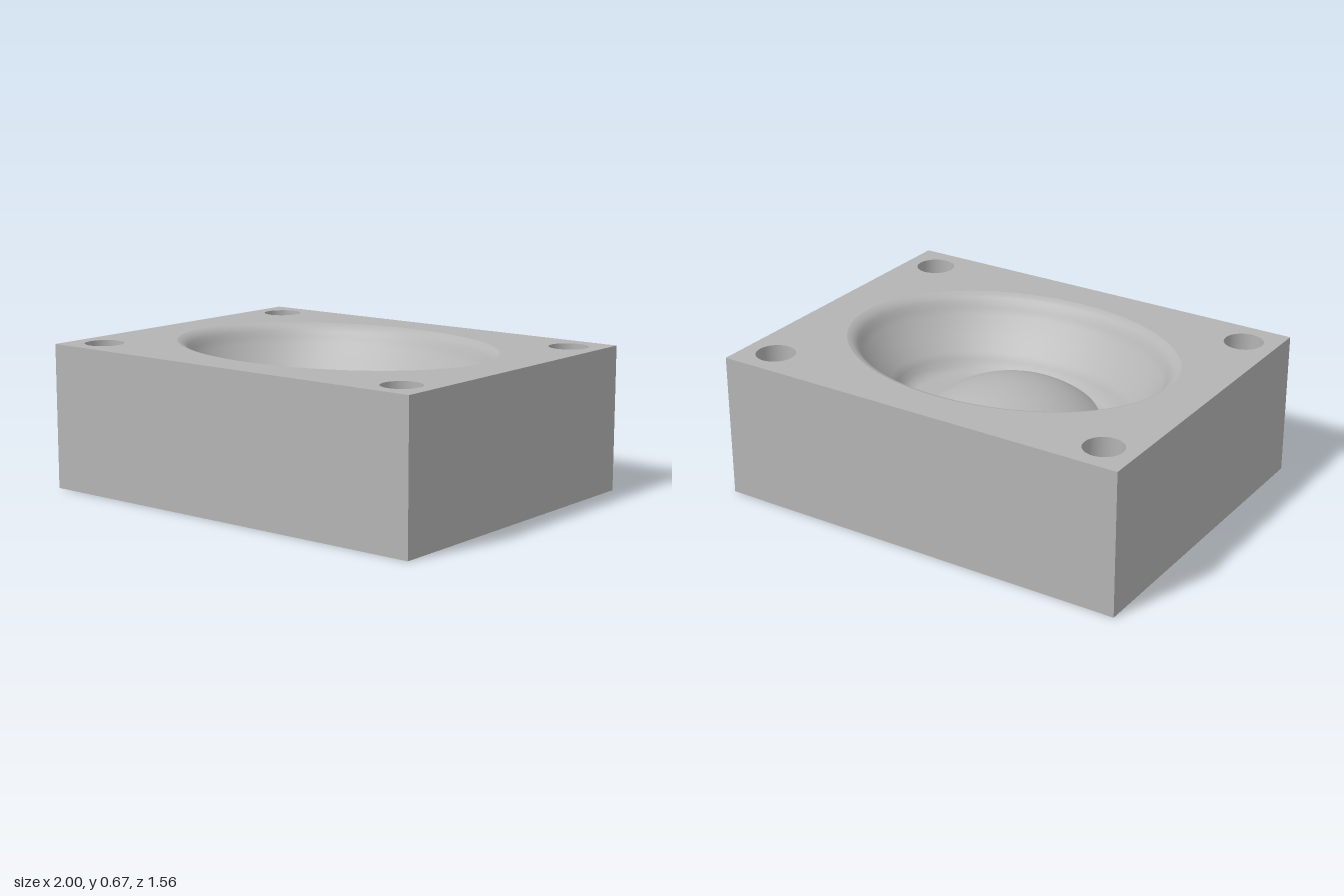
import * as THREE from 'three';

const W = 2, H = 0.67, D = 1.56;      // block size
const RIM_A = 0.8, RIM_B = 0.6;       // cavity rim half axes
const SEG = 96;
const HOLE_R = 0.09, HOLE_DEPTH = 0.22, HOLE_X = 0.845, HOLE_Z = 0.622;

const ellipse = (a, b, n) => Array.from({ length: n }, (_, i) => {
  const t = (i / n) * Math.PI * 2;
  return new THREE.Vector2(a * Math.cos(t), b * Math.sin(t));
});

// Skin through rings of [half axis x, half axis z, height], facing up and inwards
function ringSurface(rings) {
  const pos = [], idx = [];
  rings.forEach(([a, b, y]) => ellipse(a, b, SEG).forEach(p => pos.push(p.x, y, p.y)));
  for (let r = 0; r < rings.length - 1; r++) {
    for (let i = 0; i < SEG; i++) {
      const j = (i + 1) % SEG;
      const o0 = r * SEG + i, o1 = r * SEG + j, n0 = o0 + SEG, n1 = o1 + SEG;
      idx.push(o0, n0, o1, o1, n0, n1);
    }
  }
  const g = new THREE.BufferGeometry();
  g.setAttribute('position', new THREE.Float32BufferAttribute(pos, 3));
  g.setIndex(idx);
  g.computeVertexNormals();
  return g;
}

export function createModel() {
  const model = new THREE.Group();
  model.name = 'mouldBlock';
  const grey = new THREE.MeshStandardMaterial({ color: 0xb4b4b4, side: THREE.DoubleSide });
  grey.name = 'grey';
  const add = (name, geometry, x = 0, y = 0, z = 0) => {
    const mesh = new THREE.Mesh(geometry, grey);
    mesh.name = name;
    mesh.position.set(x, y, z);
    model.add(mesh);
    return mesh;
  };

  // Block sides and underside: a box with its top face left out
  const box = new THREE.BoxGeometry(W, H, D);
  const index = Array.from(box.index.array);
  index.splice(12, 6);
  box.setIndex(index);
  box.clearGroups();
  add('blockBody', box, 0, H / 2, 0);

  // Top face, pierced by the cavity and the corner holes
  const top = new THREE.Shape([
    new THREE.Vector2(-W / 2, -D / 2), new THREE.Vector2(W / 2, -D / 2),
    new THREE.Vector2(W / 2, D / 2), new THREE.Vector2(-W / 2, D / 2),
  ]);
  top.holes.push(new THREE.Path(ellipse(RIM_A, RIM_B, SEG)));
  const corners = [[1, 1], [-1, 1], [1, -1], [-1, -1]];
  for (const [sx, sz] of corners) {
    const circle = ellipse(HOLE_R, HOLE_R, 40);
    circle.forEach(p => p.add(new THREE.Vector2(sx * HOLE_X, sz * HOLE_Z)));
    top.holes.push(new THREE.Path(circle));
  }
  add('topFace', new THREE.ShapeGeometry(top).rotateX(-Math.PI / 2), 0, H, 0);

  // Blind corner holes
  for (const [sx, sz] of corners) {
    const x = sx * HOLE_X, z = sz * HOLE_Z;
    const wall = new THREE.CylinderGeometry(HOLE_R, HOLE_R, HOLE_DEPTH, 40, 1, true);
    add('holeWall', wall, x, H - HOLE_DEPTH / 2, z);
    add('holeFloor', new THREE.CircleGeometry(HOLE_R, 40).rotateX(-Math.PI / 2), x, H - HOLE_DEPTH, z);
  }

  // Oval cavity: rounded lip, sloping wall, filleted floor, as [inset, height]
  const profile = [
    [0, H], [0.018, 0.664], [0.035, 0.652], [0.05, 0.635], [0.062, 0.61], [0.075, 0.58],
    [0.205, 0.44], [0.22, 0.41], [0.235, 0.38], [0.258, 0.357], [0.29, 0.347],
  ];
  // even out the straight wall between the lip and the fillet
  profile.splice(5, 2, [0.08, 0.58], [0.14, 0.5], [0.2, 0.44]);
  const rings = profile.map(([d, y]) => [RIM_A - d, RIM_B - d, y]);
  rings.push([0.36, 0.29, 0.345]);
  add('cavity', ringSurface(rings));

  // Shallow dome rising from the cavity floor
  const R = 0.6, r = 0.4;
  const dome = new THREE.SphereGeometry(R, 64, 20, 0, Math.PI * 2, 0, Math.asin(r / R));
  add('dome', dome, 0, 0.345 - Math.sqrt(R * R - r * r), 0);

  return model;
}
